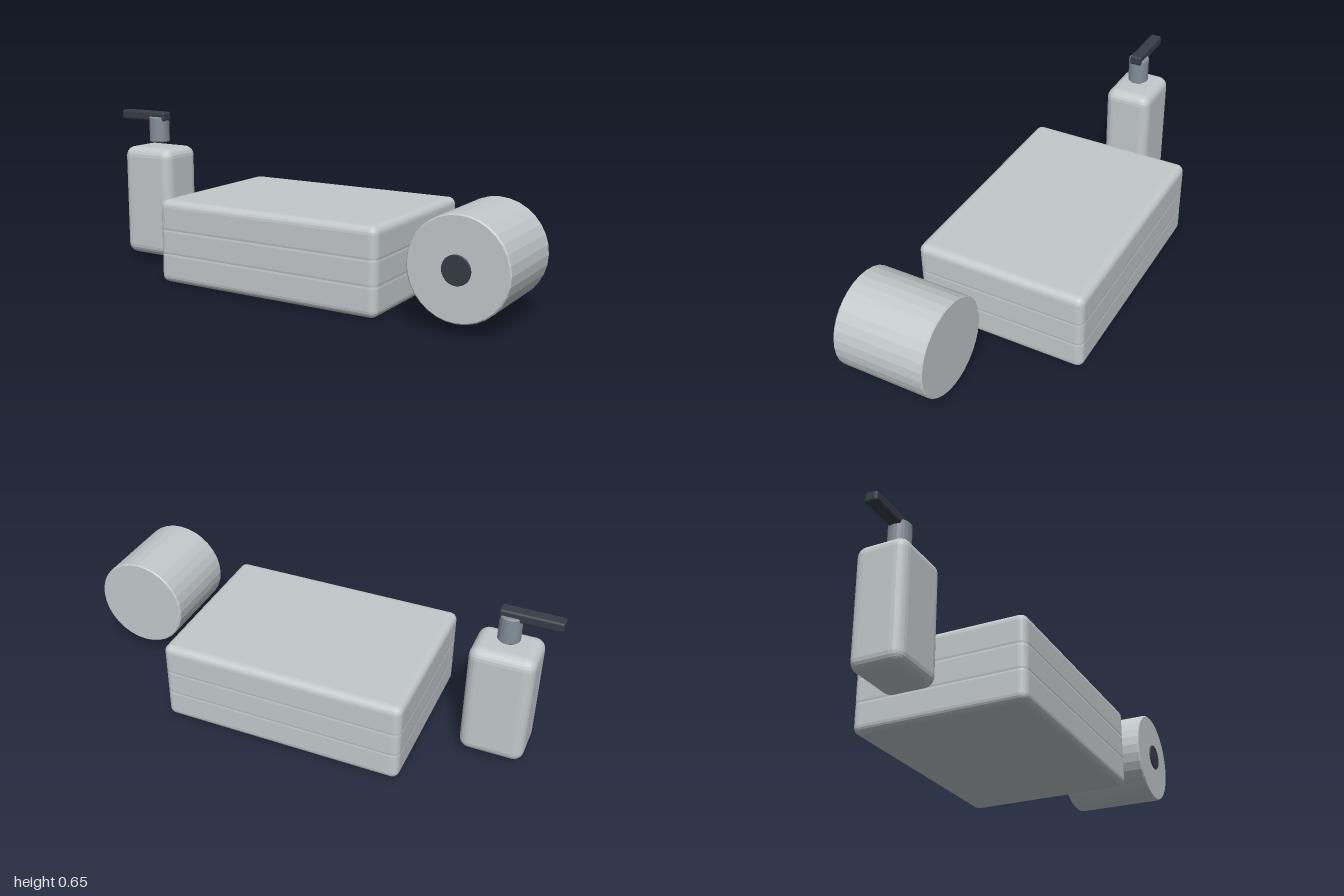
import * as THREE from 'three';
import { RoundedBoxGeometry } from 'three/addons/geometries/RoundedBoxGeometry.js';

export function createModel() {
  const material = (name, color) => {
    const m = new THREE.MeshStandardMaterial({ color });
    m.name = name;
    return m;
  };
  const paleGrey = material('paleGrey', 0xc3c9cb);
  const steel = material('steel', 0x858f99);
  const charcoal = material('charcoal', 0x363c45);

  const model = new THREE.Group();
  model.name = 'bathroomSet';

  // Faceted normals for every part
  const add = (parent, name, geometry, mat, x, y, z) => {
    const flat = geometry.index ? geometry.toNonIndexed() : geometry;
    flat.computeVertexNormals();
    const mesh = new THREE.Mesh(flat, mat);
    mesh.name = name;
    mesh.position.set(x, y, z);
    parent.add(mesh);
    return mesh;
  };
  const group = (name) => {
    const g = new THREE.Group();
    g.name = name;
    model.add(g);
    return g;
  };
  // Closed cylinder with a small bevel on both rims
  const bevelledCylinder = (r, h, bevel, sides) => new THREE.LatheGeometry([
    [0, -h / 2], [r - bevel, -h / 2], [r, -h / 2 + bevel],
    [r, h / 2 - bevel], [r - bevel, h / 2], [0, h / 2],
  ].map(([x, y]) => new THREE.Vector2(x, y)), sides);

  // Stack of three folded towels, pressed into each other
  const towels = group('towelStack');
  for (let i = 0; i < 3; i++) {
    add(towels, `towel${i + 1}`, new RoundedBoxGeometry(1, 0.144, 0.71, 3, 0.03),
      paleGrey, -0.02, 0.072 + i * 0.1, -0.015);
  }

  // Soap dispenser with pump and sideways nozzle
  const dispenser = group('soapDispenser');
  add(dispenser, 'bottle', new RoundedBoxGeometry(0.256, 0.482, 0.206, 3, 0.042),
    paleGrey, -0.805, 0.261, -0.014);
  add(dispenser, 'pumpNeck', bevelledCylinder(0.044, 0.111, 0.004, 20),
    steel, -0.805, 0.577, -0.014);
  add(dispenser, 'nozzle', new RoundedBoxGeometry(0.24, 0.042, 0.052, 2, 0.01),
    charcoal, -0.88, 0.634, -0.014);

  // Paper roll lying along z, with a dark core disc in front
  const roll = group('paperRoll');
  add(roll, 'paper', bevelledCylinder(0.194, 0.374, 0.005, 32),
    paleGrey, 0.804, 0.242, 0.174).rotation.x = Math.PI / 2;
  add(roll, 'core', bevelledCylinder(0.055, 0.007, 0.002, 32),
    charcoal, 0.804, 0.242, 0.3685).rotation.x = Math.PI / 2;

  return model;
}
